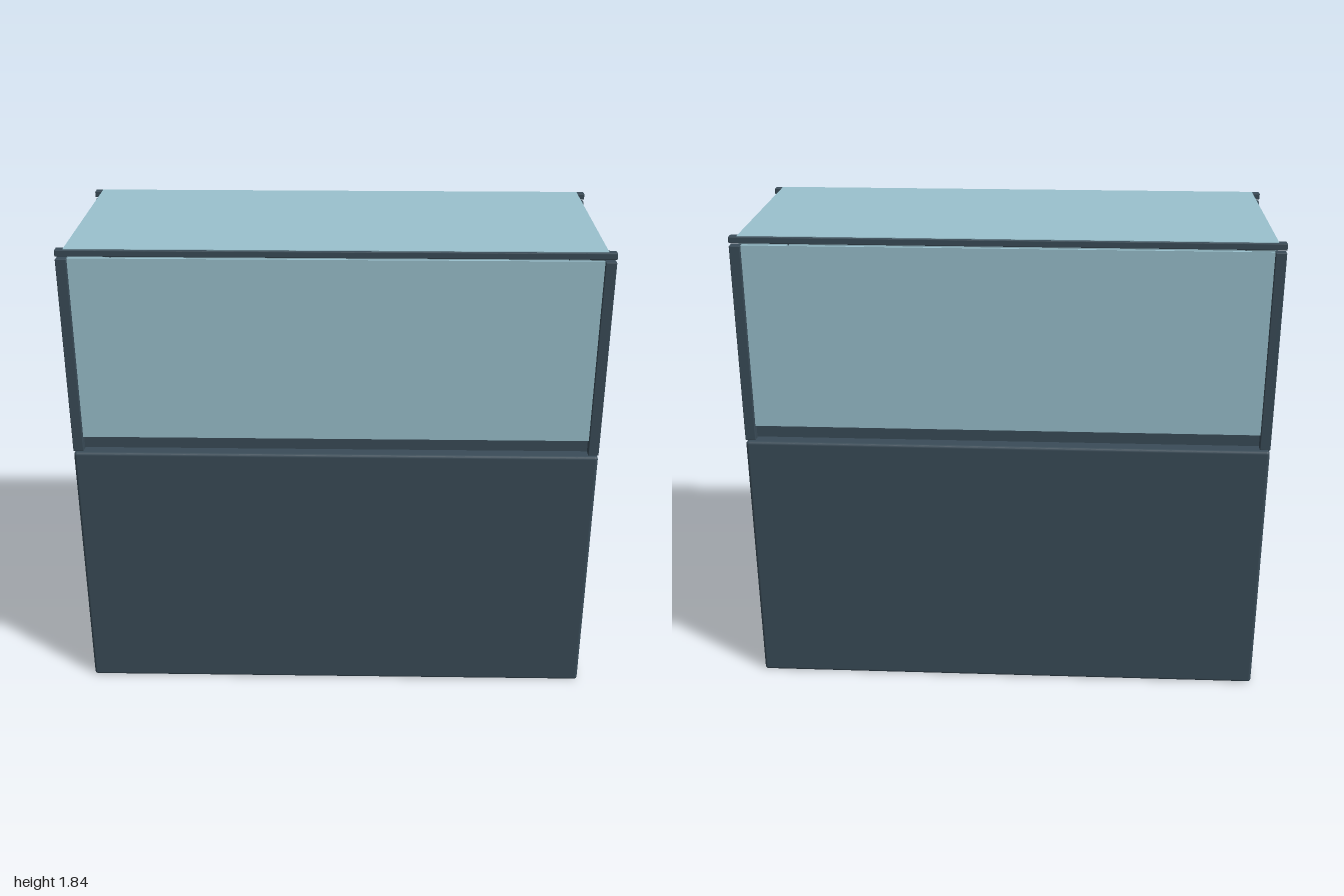
import * as THREE from 'three';
import { RoundedBoxGeometry } from 'three/addons/geometries/RoundedBoxGeometry.js';

const frameMat = new THREE.MeshStandardMaterial({ color: 0x3a4c58 });
const glassMat = new THREE.MeshStandardMaterial({ color: 0x9ac1ce });

// Box given by its extents along each axis
function block(name, mat, [x0, x1], [y0, y1], [z0, z1], radius = 0) {
  const size = [x1 - x0, y1 - y0, z1 - z0];
  const geo = radius
    ? new RoundedBoxGeometry(...size, 3, radius)
    : new THREE.BoxGeometry(...size);
  const mesh = new THREE.Mesh(geo, mat);
  mesh.name = name;
  mesh.position.set((x0 + x1) / 2, (y0 + y1) / 2, (z0 + z1) / 2);
  return mesh;
}

// Range between a and b on the chosen side of the centre
const side = (s, a, b) => (s > 0 ? [a, b] : [-b, -a]);

export function createModel() {
  const group = new THREE.Group();
  group.name = 'displayCounter';

  // Solid base cabinet with softened edges
  group.add(block('cabinet', frameMat, [-1, 1], [0, 1.03], [-0.412, 0.412], 0.012));

  for (const s of [1, -1]) {
    const end = s > 0 ? 'Front' : 'Back';
    const flank = s > 0 ? 'Left' : 'Right';

    // Long sides: lower rail, glass pane and top rail
    group.add(block('lowerRail' + end, frameMat, [-0.96, 0.96], [1.04, 1.084], side(s, 0.345, 0.38)));
    group.add(block('glass' + end, glassMat, [-0.96, 0.96], [1.092, 1.8], side(s, 0.388, 0.398)));
    group.add(block('topRail' + end, frameMat, [-1, 1], [1.81, 1.834], side(s, 0.375, 0.41), 0.003));

    // Short sides: lower rail and glass pane
    group.add(block('lowerRail' + flank, frameMat, side(s, 0.95, 0.985), [1.04, 1.084], [-0.375, 0.375]));
    group.add(block('glass' + flank, glassMat, side(s, 0.962, 0.972), [1.092, 1.8], [-0.375, 0.375]));

    // Corner posts
    for (const t of [1, -1]) {
      group.add(block('cornerPost', frameMat, side(t, 0.96, 1), [1.036, 1.8], side(s, 0.375, 0.41), 0.003));
    }
  }

  // Top pane resting across the rails
  group.add(block('glassTop', glassMat, [-0.97, 0.97], [1.825, 1.836], [-0.4, 0.4]));

  return group;
}
